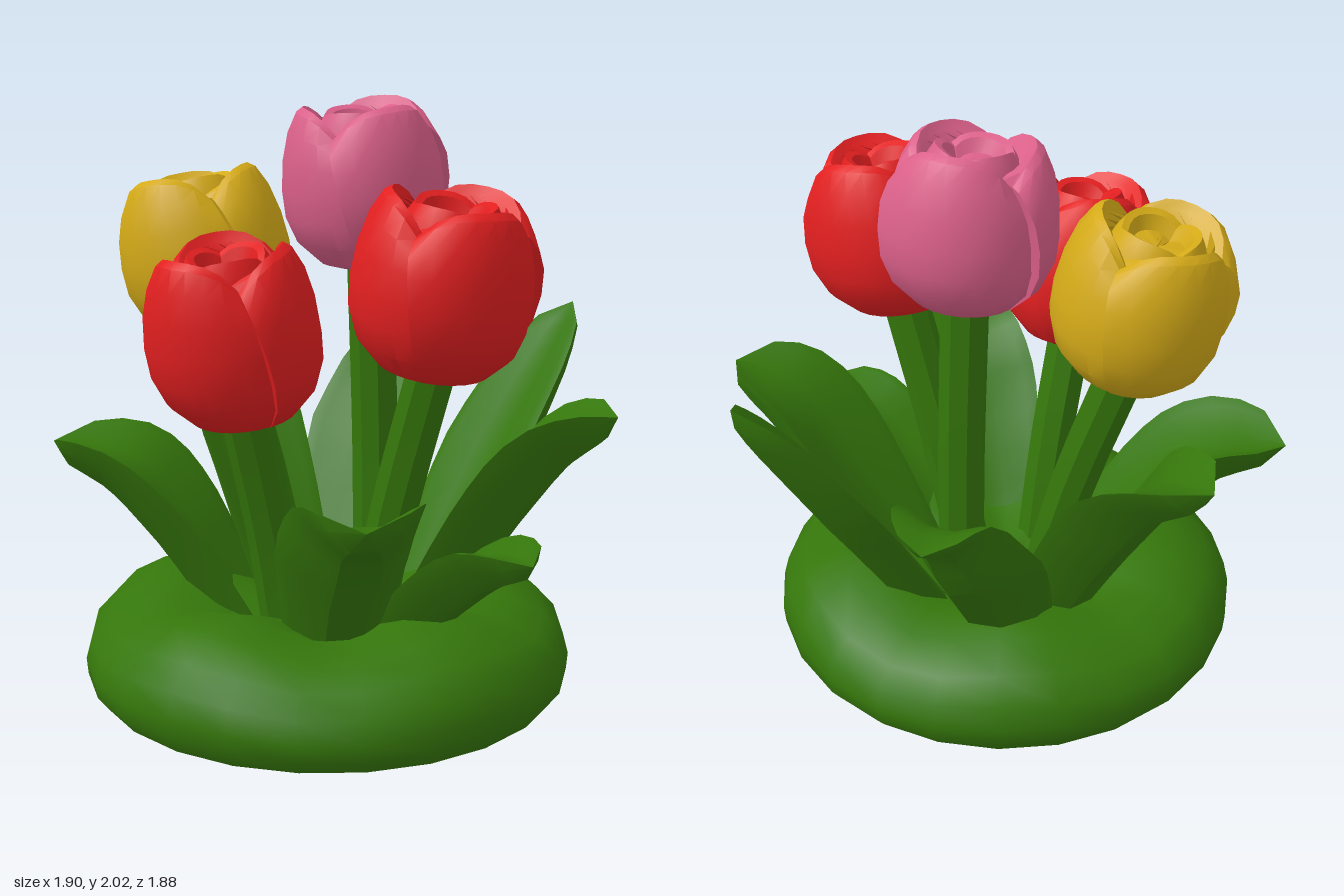
import * as THREE from 'three';
import { toCreasedNormals } from 'three/addons/utils/BufferGeometryUtils.js';

const V = (a) => new THREE.Vector3(...a);
const mat = (name, color) => {
  const m = new THREE.MeshStandardMaterial({ color });
  m.name = name;
  return m;
};

function part(name, geometry, material, crease = 0.6) {
  const mesh = new THREE.Mesh(toCreasedNormals(geometry, crease), material);
  mesh.name = name;
  return mesh;
}

// Skin closed rings of points: at(i, j) gives point j of ring i
function loft(rows, cols, at) {
  const pos = [], index = [];
  for (let i = 0; i <= rows; i++) {
    for (let j = 0; j < cols; j++) pos.push(...at(i, j));
  }
  for (let i = 0; i < rows; i++) {
    for (let j = 0; j < cols; j++) {
      const a = i * cols + j, b = i * cols + ((j + 1) % cols);
      index.push(a, a + cols, b, b, a + cols, b + cols);
    }
  }
  const g = new THREE.BufferGeometry();
  g.setAttribute('position', new THREE.Float32BufferAttribute(pos, 3));
  g.setIndex(index);
  return g;
}

// Thick cupped leaf along a curve, narrowing to a rounded or pointed end
function leafGeometry({ path, width, cup = 0.65, point = 2.4 }) {
  const curve = new THREE.CatmullRomCurve3(path.map(V));
  const up = new THREE.Vector3(0, 1, 0);
  return loft(10, 10, (i, j) => {
    const t = i / 10, a = (j / 10) * Math.PI * 2, x = Math.cos(a);
    const c = curve.getPoint(t), tan = curve.getTangent(t);
    const side = tan.clone().cross(up).normalize();
    const inward = side.clone().cross(tan);
    const close = Math.sqrt(Math.max(0, 1 - Math.pow(Math.max(0, (t - 0.4) / 0.6), point)));
    const w = (width / 2) * (0.74 + 0.26 * Math.sin((Math.min(t / 0.5, 1) * Math.PI) / 2)) * close;
    c.addScaledVector(side, w * x);
    c.addScaledVector(inward, 0.06 * close * Math.sin(a) + cup * w * (x * x - 0.35));
    return c.toArray();
  });
}

// Flower outline from the base over the rim, into the groove and up to the heart;
// x is radius, y is height, both as fractions
const BULB = [[0.03, 0], [0.34, 0.01], [0.62, 0.06], [0.87, 0.19], [0.98, 0.34], [1, 0.5], [0.97, 0.68],
  [0.89, 0.85], [0.77, 0.97], [0.68, 1], [0.61, 0.95], [0.57, 0.82], [0.52, 0.9], [0.44, 0.97], [0.36, 0.95],
  [0.29, 0.87], [0.01, 0.86]];
const RIM = 11, PETAL_COLS = 9;

// Three overlapping petals wrap the bulb; the inner ring is turned half a petal
function bulbGeometry(radius, height) {
  return loft(BULB.length - 1, 3 * PETAL_COLS, (i, j) => {
    const [fr, fy] = BULB[i];
    const u = (j % PETAL_COLS) / (PETAL_COLS - 1);
    const inner = i >= RIM;
    const ang = -(Math.floor(j / PETAL_COLS) + u) * (Math.PI * 2 / 3) - 0.35 * fy - (inner ? Math.PI / 3 : 0);
    const lap = 0.13 * (u - 0.5) * Math.min(1, fy * 2.5) * (inner ? 0.5 : 1);
    const notch = Math.abs(2 * u - 1) ** 3 * Math.max(0, fy - 0.6) * (inner ? 0.15 : 0.4);
    const r = radius * fr * (1 + lap);
    return [r * Math.sin(ang), height * (fy - notch), r * Math.cos(ang)];
  });
}

function tulip({ name, foot, base, axis, radius, height, turn, material }, green) {
  const g = new THREE.Group();
  g.name = name;
  const dir = V(axis).normalize();
  const head = part('flowerHead', bulbGeometry(radius, height), material, 0.5);
  head.position.set(...base);
  head.quaternion.setFromUnitVectors(new THREE.Vector3(0, 1, 0), dir);
  head.rotateY(turn);
  g.add(head);
  // Stem curving into the flower axis
  const end = V(base).addScaledVector(dir, 0.03);
  const mid = V(foot).lerp(end, 0.5).addScaledVector(V(axis).setY(0), -0.1);
  const curve = new THREE.CatmullRomCurve3([V(foot), mid, end]);
  g.add(part('stem', new THREE.TubeGeometry(curve, 6, 0.083, 8), green));
  return g;
}

export function createModel() {
  const green = mat('leaf green', 0x35760b);
  const red = mat('petal red', 0xe31f20);
  const yellow = mat('petal yellow', 0xd4aa18);
  const pink = mat('petal pink', 0xdb608a);
  const grey = mat('underside grey', 0xdfdfdf);
  const model = new THREE.Group();
  model.name = 'tulipClump';

  // Soft ring-shaped mound with a lumpy crest
  const profile = [[0.81, 0], [0.845, 0.05], [0.85, 0.11], [0.83, 0.19], [0.76, 0.26], [0.64, 0.32],
    [0.5, 0.335], [0.36, 0.29], [0.2, 0.23], [0, 0.21]].map(([x, y]) => new THREE.Vector2(x, y));
  const moundGeo = new THREE.LatheGeometry(profile, 24);
  const p = moundGeo.attributes.position;
  for (let i = 0; i < p.count; i++) {
    const a = Math.atan2(p.getX(i), p.getZ(i));
    p.setY(i, p.getY(i) * (1 + 0.1 * Math.cos(5 * a)));
  }
  const mound = part('mound', moundGeo, green, 0.8);
  const underside = part('underside', new THREE.CircleGeometry(0.815, 24).rotateX(Math.PI / 2), grey);
  underside.position.y = 0.004;
  const ground = new THREE.Group();
  ground.name = 'ground';
  ground.position.set(0.03, 0, 0.09);
  ground.add(mound, underside);
  model.add(ground);

  // Leaves, fanned around the clump
  const leaves = {
    leafBackRight: { path: [[-0.26, 0.2, -0.06], [-0.52, 0.69, -0.15], [-0.7, 0.96, -0.21], [-0.95, 1.09, -0.27]], width: 0.44 },
    leafFrontRight: { path: [[-0.25, 0.2, 0.22], [-0.45, 0.56, 0.34], [-0.62, 0.74, 0.42], [-0.88, 0.8, 0.51]], width: 0.48 },
    leafBackLeft: { path: [[0.28, 0.2, -0.16], [0.54, 0.64, -0.22], [0.73, 0.88, -0.26], [0.94, 0.99, -0.3]], width: 0.46 },
    leafSideLeft: { path: [[0.34, 0.2, 0.15], [0.57, 0.44, 0.18], [0.75, 0.58, 0.21], [0.95, 0.63, 0.27]], width: 0.34 },
    leafFrontLeft: { path: [[0.22, 0.2, 0.3], [0.39, 0.53, 0.47], [0.53, 0.74, 0.6], [0.68, 0.82, 0.78]], width: 0.46 },
    leafRearLeft: { path: [[0.2, 0.2, -0.24], [0.31, 0.65, -0.49], [0.4, 1, -0.7], [0.46, 1.25, -0.87]], width: 0.46, cup: 0.4, point: 1.2 },
    leafRearRight: { path: [[-0.16, 0.2, -0.24], [-0.22, 0.65, -0.52], [-0.25, 0.97, -0.75], [-0.31, 1.03, -0.94]], width: 0.48, cup: 0.5, point: 0.9 },
  };
  for (const [name, spec] of Object.entries(leaves)) {
    model.add(part(name, leafGeometry(spec), green));
  }

  // Four tulips
  const tulips = [
    { name: 'yellowTulip', foot: [-0.14, 0.18, 0.06], base: [-0.43, 1.17, 0.09], axis: [-0.18, 1, 0.06], radius: 0.295, height: 0.59, turn: 1.3, material: yellow },
    { name: 'pinkTulip', foot: [0.05, 0.18, -0.18], base: [0.03, 1.43, -0.17], axis: [-0.02, 1, 0.1], radius: 0.285, height: 0.57, turn: 0.5, material: pink },
    { name: 'frontRedTulip', foot: [0, 0.18, 0.28], base: [-0.01, 0.99, 0.48], axis: [0, 1, 0.17], radius: 0.28, height: 0.6, turn: 1.2, material: red },
    { name: 'sideRedTulip', foot: [0.22, 0.18, 0.12], base: [0.48, 1.15, 0.13], axis: [0.17, 1, 0.04], radius: 0.3, height: 0.6, turn: 0.4, material: red },
  ];
  for (const spec of tulips) model.add(tulip(spec, green));
  return model;
}
